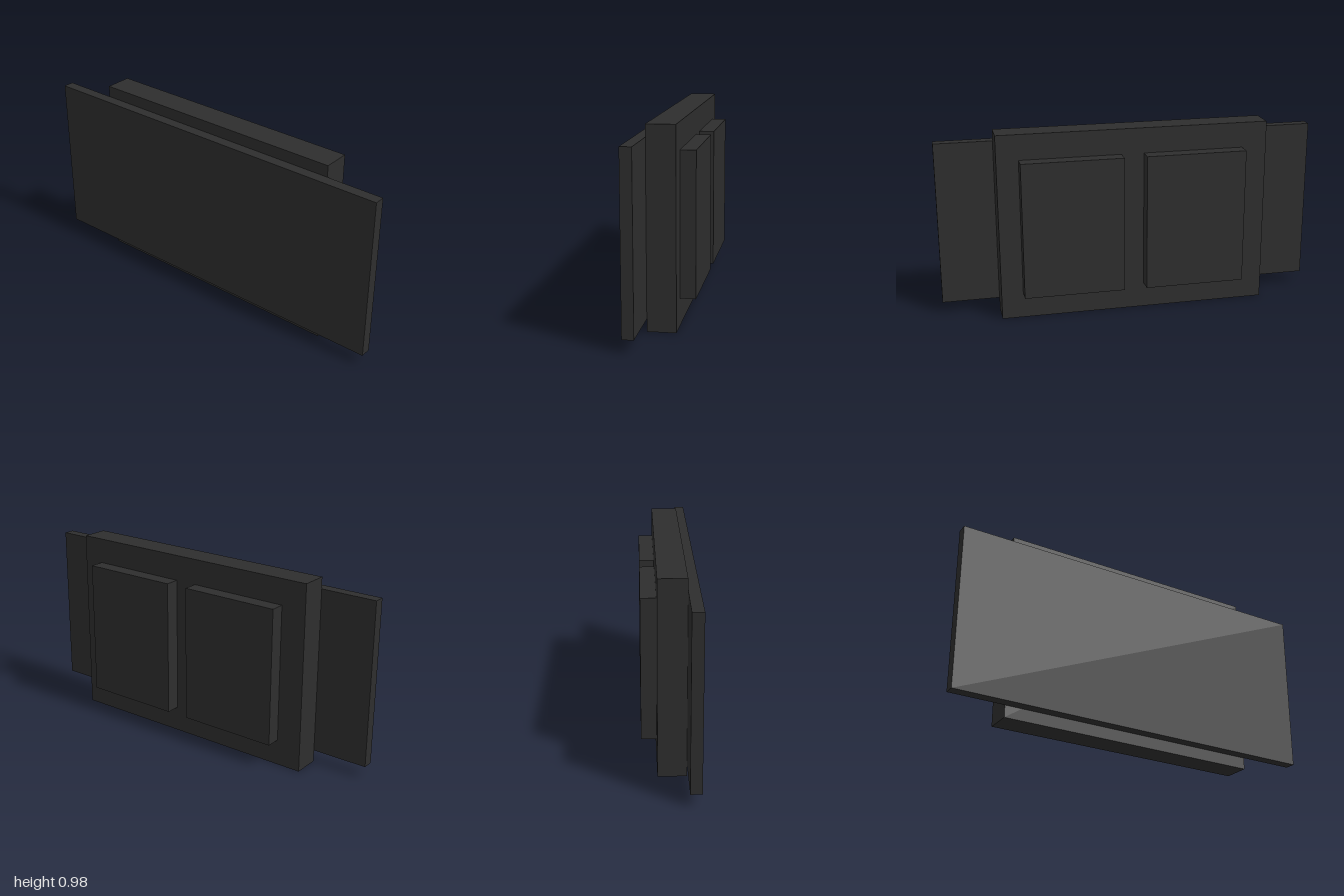
import * as THREE from 'three';

export function createModel() {
  const model = new THREE.Group();
  const charcoal = new THREE.MeshStandardMaterial({ color: 0x2d2d2d });
  charcoal.name = 'charcoal';

  // Adds a box given its minimum and maximum corners
  function slab(name, [x0, y0, z0], [x1, y1, z1]) {
    const mesh = new THREE.Mesh(new THREE.BoxGeometry(x1 - x0, y1 - y0, z1 - z0), charcoal);
    mesh.position.set((x0 + x1) / 2, (y0 + y1) / 2, (z0 + z1) / 2);
    mesh.name = name;
    model.add(mesh);
  }

  // Wide, thin panel at the front
  slab('frontPanel', [-1, 0.062, 0.08], [1, 0.92, 0.136]);

  // Taller, narrower body behind it
  slab('body', [-0.708, 0, -0.06], [0.702, 0.98, 0.08]);

  // Pair of raised blocks on the back
  slab('rightBackBlock', [-0.577, 0.134, -0.136], [-0.052, 0.848, -0.06]);
  slab('leftBackBlock', [0.065, 0.134, -0.136], [0.59, 0.848, -0.06]);

  return model;
}
